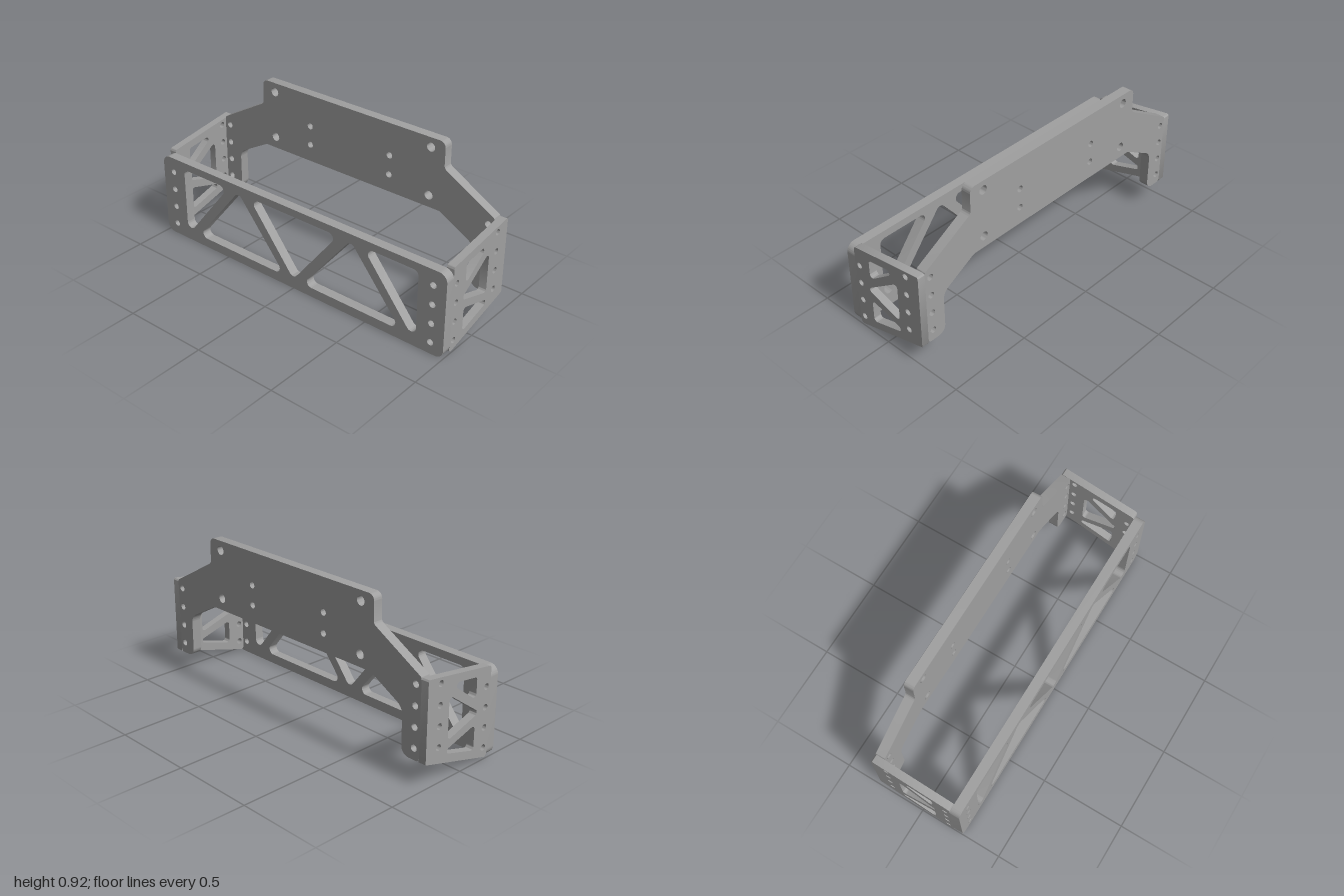
import * as THREE from 'three';
import { toCreasedNormals } from 'three/addons/utils/BufferGeometryUtils.js';

// Trace a closed polygon of [x, y, radius?] corners with true tangent arcs
function rounded(path, pts, r = 0) {
  const n = pts.length;
  pts.forEach((p, i) => {
    const c = new THREE.Vector2(p[0], p[1]);
    const rad = p[2] ?? r;
    const a = new THREE.Vector2(...pts[(i + n - 1) % n].slice(0, 2)).sub(c).normalize();
    const b = new THREE.Vector2(...pts[(i + 1) % n].slice(0, 2)).sub(c).normalize();
    if (rad === 0) {
      if (i === 0) path.moveTo(c.x, c.y); else path.lineTo(c.x, c.y);
      return;
    }
    const half = Math.acos(a.dot(b)) / 2;
    const t = rad / Math.tan(half);
    const m = a.clone().add(b).normalize().multiplyScalar(rad / Math.sin(half)).add(c);
    const s = a.clone().multiplyScalar(t).add(c);
    const e = b.clone().multiplyScalar(t).add(c);
    if (i === 0) path.moveTo(s.x, s.y);
    path.absarc(m.x, m.y, rad,
      Math.atan2(s.y - m.y, s.x - m.x), Math.atan2(e.y - m.y, e.x - m.x), a.cross(b) > 0);
  });
  path.closePath();
  return path;
}

const mirrorX = (pts) => pts.map(([x, ...rest]) => [-x, ...rest]);

// Plate with polygon windows and round holes [x, y, radius]
function plateGeometry(outline, windows, holes, windowRadius, depth) {
  const shape = rounded(new THREE.Shape(), outline);
  for (const w of windows) shape.holes.push(rounded(new THREE.Path(), w, windowRadius));
  for (const [x, y, r] of holes) {
    shape.holes.push(new THREE.Path().absarc(x, y, r, 0, Math.PI * 2, true));
  }
  const geo = new THREE.ExtrudeGeometry(shape, { depth, bevelEnabled: false, curveSegments: 10 });
  return toCreasedNormals(geo, 0.7);
}

export function createModel() {
  const group = new THREE.Group();
  group.name = 'bracketFrame';
  const metal = new THREE.MeshStandardMaterial({ color: 0xa0a0a0 });
  metal.name = 'grey metal';

  const add = (name, geo, x, z) => {
    const mesh = new THREE.Mesh(geo, metal);
    mesh.name = name;
    mesh.position.set(x, 0, z);
    group.add(mesh);
  };

  const T = 0.057;                                   // front and back thickness
  const S = 0.045;                                   // side thickness
  const frontRows = [0.07, 0.185, 0.3, 0.415];
  const backRows = [0.2, 0.315, 0.43, 0.545];

  // Front truss plate
  const endWindow = [[-0.83, 0.46], [-0.83, 0.025], [-0.48, 0.46]];
  const lowWindow = [[-0.735, 0.057], [-0.065, 0.057], [-0.4, 0.465]];
  const midWindow = [[-0.315, 0.46], [0, 0.06], [0.315, 0.46]];
  add('frontPlate', plateGeometry(
    [[-1, 0, 0.05], [1, 0, 0.05], [1, 0.505, 0.05], [-1, 0.505, 0.05]],
    [endWindow, lowWindow, midWindow, mirrorX(lowWindow), mirrorX(endWindow)],
    frontRows.flatMap((y) => [[-0.92, y, 0.019], [0.92, y, 0.019]]),
    0.031, T), 0, 0.21);

  // Back plate: raised centre, sloping shoulders, two legs
  const halfBack = [
    [0.62, 0.512, 0.05], [0.838, 0.392, 0.07], [0.838, 0.135, 0.05],
    [0.955, 0.135, 0.02], [0.955, 0.59, 0.015], [0.635, 0.772, 0.03], [0.635, 0.923, 0.035],
  ];
  const backHoles = [
    [0.545, 0.867, 0.026], [0.545, 0.582, 0.026], [0.28, 0.732, 0.019], [0.28, 0.616, 0.019],
    ...backRows.map((y) => [0.92, y, 0.019]),
  ];
  add('backPlate', plateGeometry(
    [...halfBack, ...mirrorX(halfBack).reverse()], [],
    [...backHoles, ...mirrorX(backHoles)], 0, T), 0, -0.267);

  // Side plates, drawn in (z, y) and turned to face sideways
  const side = plateGeometry(
    [[0.21, 0.005, 0.018], [0.21, 0.522, 0.018], [-0.267, 0.591, 0.012], [-0.267, 0.135, 0.004]],
    [
      [[0.1, 0.492], [-0.105, 0.52], [0.1, 0.368]],
      [[0.133, 0.289], [-0.108, 0.46], [-0.108, 0.213]],
      [[0.1, 0.228], [-0.108, 0.167], [-0.108, 0.141], [0.1, 0.082]].map(
        ([z, y], i) => [z, y, i === 1 || i === 2 ? 0.014 : 0.018]),
    ],
    [...frontRows.map((y) => [0.178, y, 0.018]), ...backRows.map((y) => [-0.176, y, 0.018])],
    0.018, S);
  side.rotateY(-Math.PI / 2);
  add('leftSidePlate', side, 1, 0);
  add('rightSidePlate', side, -1 + S, 0);

  return group;
}
